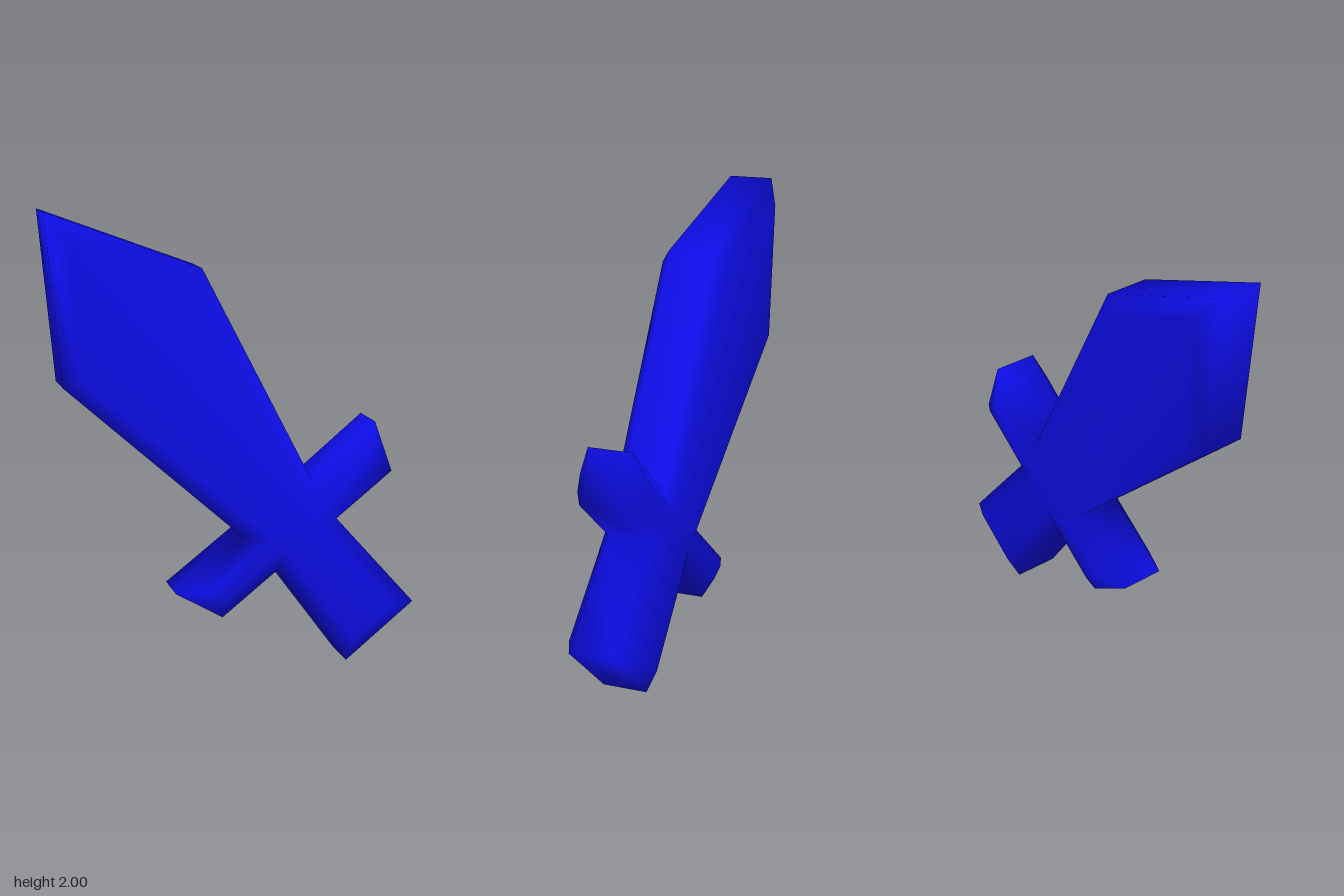
import * as THREE from 'three';

// Silhouette of the sword, counter-clockwise seen from the front
const OUTLINE = [
  [-0.808, 2.0], [-0.739, 1.272], [0.03, 0.589],      // blade tip, left shoulder, left root
  [-0.268, 0.357], [-0.062, 0.238], [0.182, 0.432],   // lower guard arm
  [0.5, 0.0], [0.805, 0.249], [0.449, 0.648],         // grip
  [0.697, 0.847], [0.618, 1.07], [0.332, 0.831],      // upper guard arm
  [-0.148, 1.755],                                    // right shoulder
].map(([x, y]) => new THREE.Vector2(x, y));

// Moves every edge inwards by d and joins them with full mitres
function inset(points, d) {
  const n = points.length;
  return points.map((p, i) => {
    const a = p.clone().sub(points[(i + n - 1) % n]).normalize();
    const b = points[(i + 1) % n].clone().sub(p).normalize();
    const na = new THREE.Vector2(-a.y, a.x);
    const nb = new THREE.Vector2(-b.y, b.x);
    return na.clone().add(nb).multiplyScalar(d / (1 + na.dot(nb))).add(p);
  });
}

// Skins the outline through four rings: front face, two rim edges, back face
function bevelledSlab(outline, bevel, rimZ, faceZ) {
  const inner = inset(outline, bevel);
  const rings = [[inner, faceZ], [outline, rimZ], [outline, -rimZ], [inner, -faceZ]];
  const n = outline.length;
  const positions = [];
  const index = [];
  for (const [points, z] of rings) for (const p of points) positions.push(p.x, p.y, z);

  // Bevels and rim
  for (let r = 0; r < 3; r++) {
    for (let i = 0; i < n; i++) {
      const j = (i + 1) % n;
      const a = r * n + i, b = r * n + j, c = a + n, d = b + n;
      index.push(a, c, b, b, c, d);
    }
  }
  // Front and back faces
  for (const [a, b, c] of THREE.ShapeUtils.triangulateShape(inner, [])) {
    index.push(a, b, c, a + 3 * n, c + 3 * n, b + 3 * n);
  }
  const geometry = new THREE.BufferGeometry();
  geometry.setAttribute('position', new THREE.Float32BufferAttribute(positions, 3));
  geometry.setIndex(index);
  geometry.computeVertexNormals();
  return geometry;
}

export function createModel() {
  const group = new THREE.Group();
  group.name = 'sword';
  const blue = new THREE.MeshStandardMaterial({ color: 0x0d0de6 });
  blue.name = 'blue';

  // Blade, guard and grip form one continuous bevelled body
  const body = new THREE.Mesh(bevelledSlab(OUTLINE, 0.074, 0.1, 0.155), blue);
  body.name = 'swordBody';
  group.add(body);
  return group;
}
